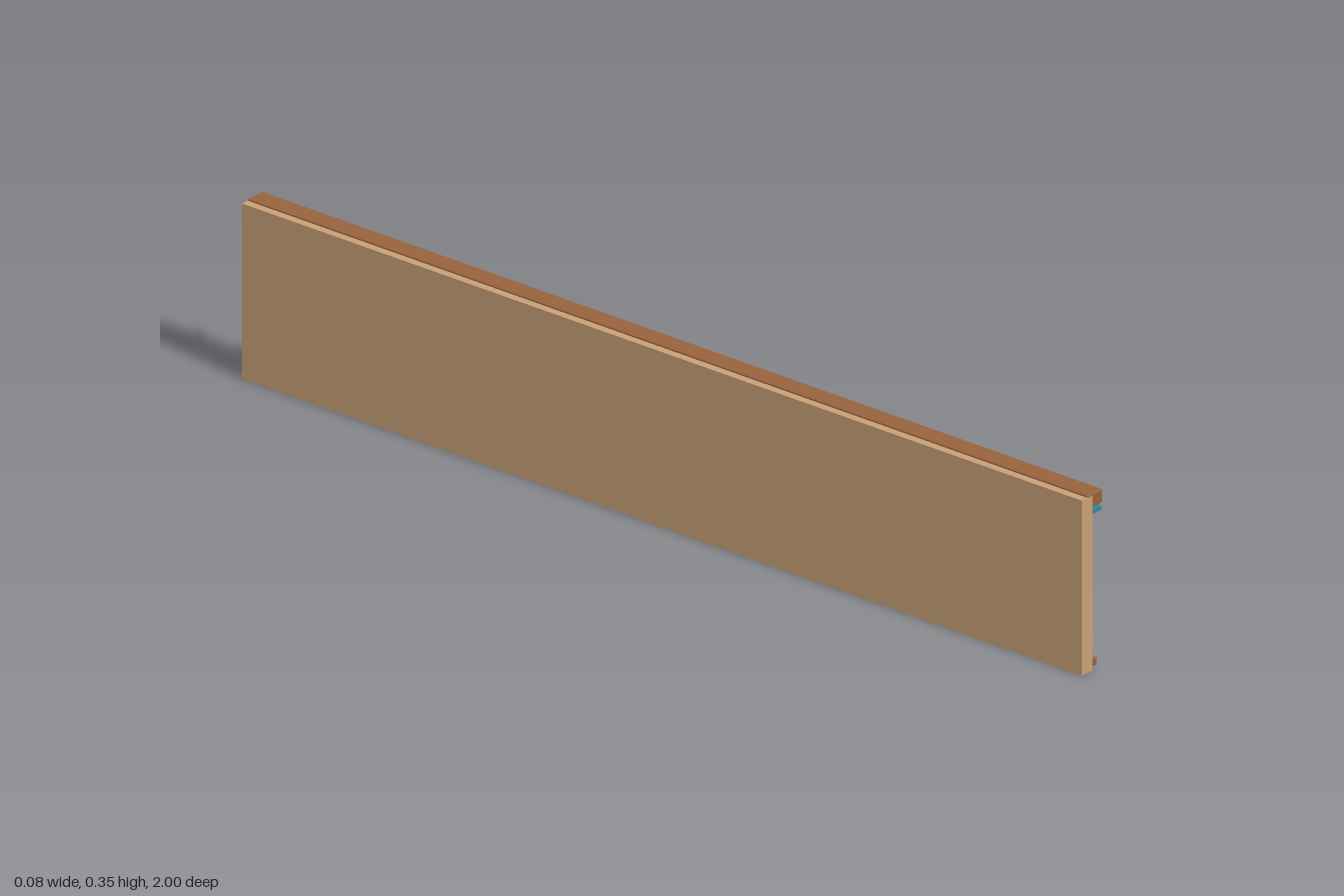
import * as THREE from 'three';
import { RoundedBoxGeometry } from 'three/addons/geometries/RoundedBoxGeometry.js';

const material = (name, color) => {
  const m = new THREE.MeshStandardMaterial({ color });
  m.name = name;
  return m;
};

export function createModel() {
  const plaster = material('sand plaster', 0xc9a177);
  const clay = material('reddish clay', 0x99633f);
  const teal = material('teal glaze', 0x348a9c);
  const wood = material('dark wood', 0x6f4a29);
  const cream = material('cream tile', 0xdcc9a6);

  const model = new THREE.Group();
  model.name = 'courtyardWall';

  const add = (parent, name, geometry, mat, x, y, z) => {
    const mesh = new THREE.Mesh(geometry, mat);
    mesh.name = name;
    mesh.position.set(x, y, z);
    parent.add(mesh);
    return mesh;
  };
  // Box given by its limits in x and y, centred on z; a radius softens its edges
  const block = (parent, name, mat, [x0, x1], [y0, y1], z, length, radius = 0) => {
    const size = [x1 - x0, y1 - y0, length];
    const geometry = radius
      ? new RoundedBoxGeometry(...size, 2, radius)
      : new THREE.BoxGeometry(...size);
    return add(parent, name, geometry, mat, (x0 + x1) / 2, (y0 + y1) / 2, z);
  };

  // Wall with its long mouldings
  block(model, 'wall', plaster, [-0.04, -0.01], [0, 0.348], 0, 2);
  block(model, 'coping', clay, [-0.024, 0.018], [0.324, 0.352], 0, 2, 0.003);
  block(model, 'glazedBand', teal, [-0.012, 0.014], [0.311, 0.32], 0, 2);
  block(model, 'baseMoulding', clay, [-0.014, 0.002], [0.008, 0.024], 0, 2, 0.003);

  // Row of projecting beam ends
  const beam = new THREE.CylinderGeometry(0.008, 0.008, 0.055, 10);
  beam.rotateZ(Math.PI / 2);
  for (let i = 0; i < 20; i++) {
    add(model, 'beamEnd', beam, wood, 0.0125, 0.285, -0.95 + i * 0.1);
  }

  // Arched niches with a tiled panel
  const stone = new RoundedBoxGeometry(0.02, 0.022, 0.018, 2, 0.002);
  const tile = new RoundedBoxGeometry(0.006, 0.022, 0.024, 2, 0.002);
  for (const z of [-0.667, 0, 0.667]) {
    const niche = new THREE.Group();
    niche.name = 'archedNiche';
    niche.position.z = z;
    model.add(niche);

    block(niche, 'panel', teal, [-0.012, -0.005], [0.04, 0.263], 0, 0.15);
    for (const side of [-1, 1]) {
      block(niche, 'jamb', clay, [-0.012, 0.008], [0.04, 0.205], side * 0.075, 0.018, 0.003);
    }

    // Arch stones fanned over a half circle
    for (let i = 0; i < 9; i++) {
      const a = Math.PI * (i / 8 - 0.5);
      const s = add(niche, 'archStone', stone, clay,
        -0.002, 0.192 + 0.067 * Math.cos(a), 0.07 * Math.sin(a));
      s.rotation.x = a;
    }

    // Staggered tiles, two in each row
    for (let row = 0; row < 5; row++) {
      for (let k = 0; k < 2; k++) {
        const offset = (k ? 0.053 : -0.018) * (row % 2 ? -1 : 1);
        add(niche, 'tile', tile, cream, -0.004, 0.063 + row * 0.035, offset);
      }
    }
    add(niche, 'tile', tile, cream, -0.004, 0.236, 0.018);
  }
  return model;
}
